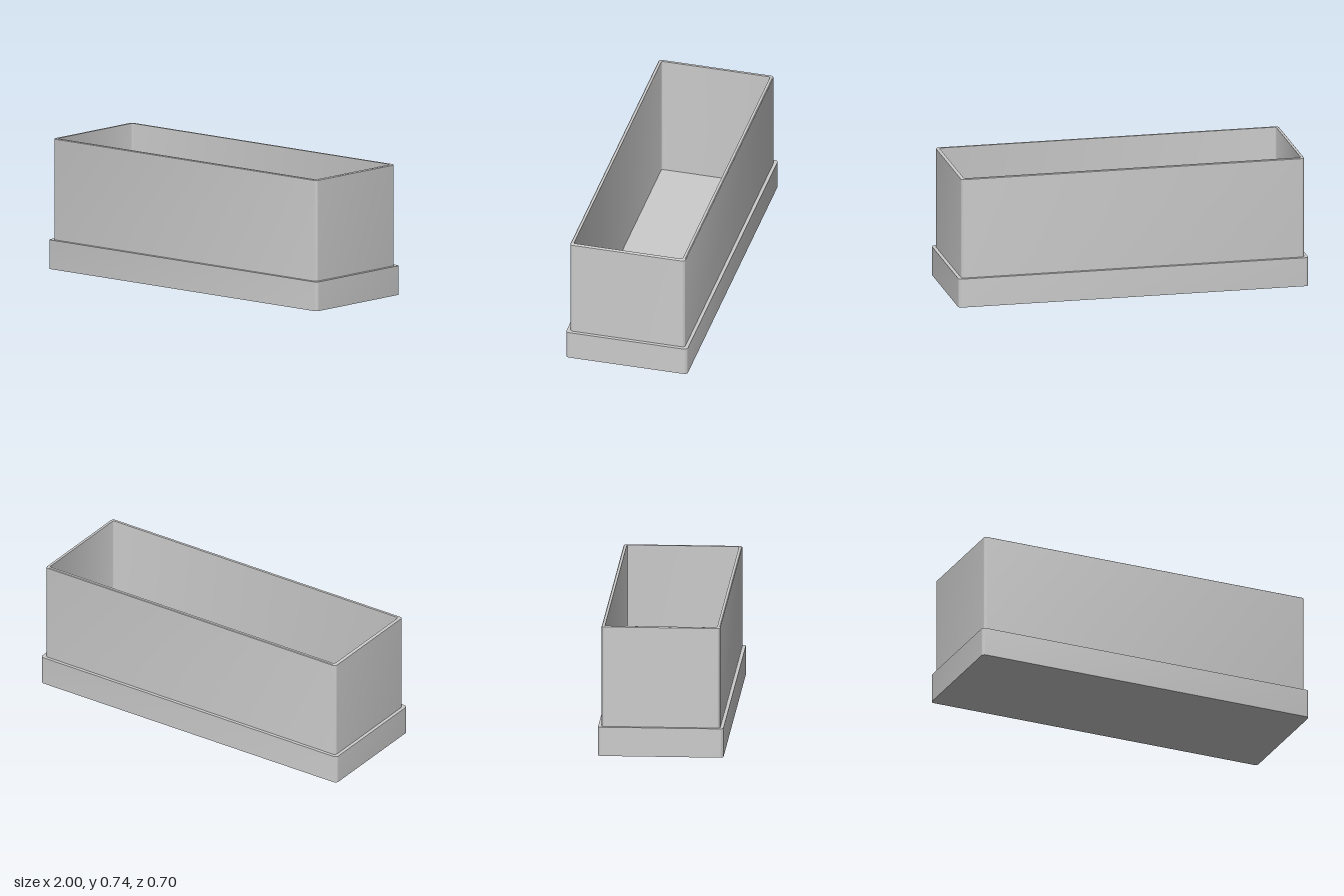
import * as THREE from 'three';
import { toCreasedNormals } from 'three/addons/utils/BufferGeometryUtils.js';

const CORNER_STEPS = 6;

// Rounded-rectangle loop: half width, half depth, corner radius, height
function loop([w, d, r, y]) {
  const points = [];
  for (let corner = 0; corner < 4; corner++) {
    const sx = corner === 0 || corner === 3 ? 1 : -1;
    const sz = corner < 2 ? 1 : -1;
    for (let i = 0; i <= CORNER_STEPS; i++) {
      const a = (corner + i / CORNER_STEPS) * Math.PI / 2;
      points.push([sx * (w - r) + r * Math.cos(a), y, sz * (d - r) + r * Math.sin(a)]);
    }
  }
  return points;
}

// Joins successive loops into a skin
function skin(name, rings, material) {
  const loops = rings.map(loop);
  const n = loops[0].length;
  const index = [];
  for (let j = 0; j < loops.length - 1; j++) {
    for (let i = 0; i < n; i++) {
      const a = j * n + i, b = j * n + (i + 1) % n;
      index.push(a, a + n, b, b, a + n, b + n);
    }
  }
  const geometry = new THREE.BufferGeometry();
  geometry.setAttribute('position', new THREE.Float32BufferAttribute(loops.flat(2), 3));
  geometry.setIndex(index);
  const mesh = new THREE.Mesh(toCreasedNormals(geometry, 0.6), material);
  mesh.name = name;
  return mesh;
}

export function createModel() {
  const group = new THREE.Group();
  group.name = 'openBox';
  const material = new THREE.MeshStandardMaterial({ color: 0xcccccc });

  // Wider base with its underside and the ledge around the walls
  group.add(skin('base', [
    [0, 0, 0, 0],
    [1, 0.35, 0.02, 0],
    [1, 0.35, 0.02, 0.165],
    [0.98, 0.331, 0.018, 0.165],
  ], material));

  // Thin walls with an eased rim, hollow down to the floor
  group.add(skin('wallsAndFloor', [
    [0.98, 0.331, 0.018, 0.165],
    [0.98, 0.331, 0.018, 0.735],
    [0.976, 0.327, 0.016, 0.738],
    [0.962, 0.313, 0.01, 0.738],
    [0.962, 0.313, 0.01, 0.02],
    [0, 0, 0, 0.02],
  ], material));

  return group;
}
